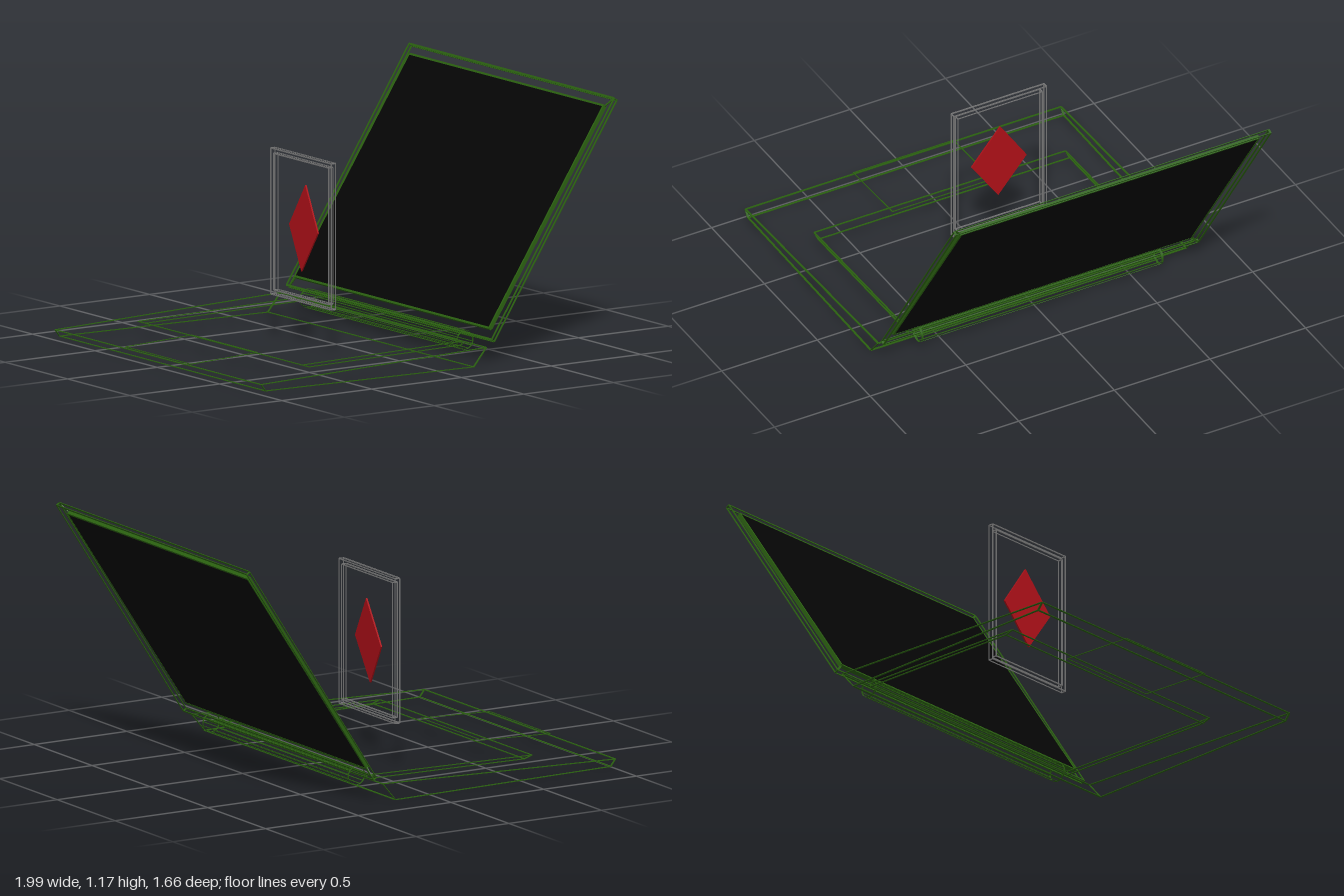
import * as THREE from 'three';

const V = (x, y, z) => new THREE.Vector3(x, y, z);
const paint = (color) => new THREE.MeshStandardMaterial({ color, side: THREE.DoubleSide });
const green = paint(0x2a6010), black = paint(0x050505), grey = paint(0x777777), red = paint(0xb01018);

// Flat strip from a to b, lying in the plane with the given normal
function strip(a, b, normal, width, thick, mat) {
  const d = b.clone().sub(a), len = d.length();
  d.normalize();
  const w = normal.clone().cross(d).normalize();
  const n = d.clone().cross(w);
  const mesh = new THREE.Mesh(new THREE.BoxGeometry(width, thick, len), mat);
  mesh.quaternion.setFromRotationMatrix(new THREE.Matrix4().makeBasis(w, n, d));
  mesh.position.copy(a).add(b).multiplyScalar(0.5);
  return mesh;
}

function named(name, parent) {
  const g = new THREE.Group();
  g.name = name;
  parent.add(g);
  return g;
}

// Closed outline of strips
function outline(group, pts, normal, width = 0.01, thick = 0.003, mat = green) {
  pts.forEach((p, i) => group.add(strip(p, pts[(i + 1) % pts.length], normal, width, thick, mat)));
}

// Rectangle running along z between two points of the side profile
const rect = ([x0, y0], [x1, y1], h) => [V(x0, y0, -h), V(x1, y1, -h), V(x1, y1, h), V(x0, y0, h)];
const normalOf = ([x0, y0], [x1, y1]) => V(y0 - y1, x1 - x0, 0).normalize();

// Two profile lines as outlines, joined at their four corners
function shell(group, a, b, h) {
  for (const [p, q] of [a, b]) outline(group, rect(p, q, h), normalOf(p, q));
  for (const i of [0, 1]) {
    for (const z of [-h, h]) {
      group.add(strip(V(...a[i], z), V(...b[i], z), normalOf(a[i], b[i]), 0.01, 0.003, green));
    }
  }
}

export function createModel() {
  const model = new THREE.Group();
  model.name = 'wireframeLaptop';

  // Wedge base, recessed key area and touchpad
  shell(named('base', model), [[-0.995, 0.047], [0.26, 0.085]], [[-0.97, 0.015], [0.19, 0.002]], 0.825);
  const keys = named('keyboardRecess', model);
  const keyTop = [[-0.65, 0.075], [0.24, 0.09]];
  outline(keys, rect(...keyTop, 0.657), normalOf(...keyTop), 0.008);
  keys.add(strip(V(-0.61, 0.062, -0.657), V(-0.61, 0.062, 0.657), V(0, 1, 0), 0.008, 0.003, green));
  for (const z of [-0.657, 0.657]) {
    keys.add(strip(V(-0.65, 0.075, z), V(-0.61, 0.062, z), V(0, 1, 0), 0.008, 0.003, green));
    keys.add(strip(V(-0.61, 0.062, z), V(0.24, 0.073, z), V(0, 1, 0), 0.008, 0.003, green));
    keys.add(strip(V(0.24, 0.073, z), V(0.24, 0.09, z), V(1, 0, 0), 0.008, 0.003, green));
  }
  const pad = [[-0.995, 0.055], [-0.625, 0.07]];
  outline(named('touchpad', model), rect(...pad, 0.262), normalOf(...pad), 0.005);

  // Hinge barrel: end rings and lengthwise wires
  const hinge = named('hinge', model);
  hinge.position.set(0.278, 0.088, 0);
  const r = 0.045, sides = 14;
  for (const z of [-0.628, 0.628]) {
    const ring = new THREE.Mesh(new THREE.CylinderGeometry(r, r, 0.01, sides, 1, true), green);
    ring.rotation.x = Math.PI / 2;
    ring.position.z = z;
    hinge.add(ring);
  }
  for (let i = 0; i < sides; i++) {
    const t = (i / sides) * Math.PI * 2, n = V(Math.sin(t), Math.cos(t), 0);
    const p = n.clone().multiplyScalar(r);
    hinge.add(strip(V(p.x, p.y, -0.628), V(p.x, p.y, 0.628), n, 0.004, 0.002, green));
  }

  // Lid frame
  const lid = named('lid', model);
  shell(lid, [[0.292, 0.118], [0.975, 1.168]], [[0.307, 0.108], [0.99, 1.158]], 0.822);

  // Screen panel with a green border
  const low = [0.314, 0.16], high = [0.952, 1.127];
  const dx = high[0] - low[0], dy = high[1] - low[1];
  const screen = new THREE.Mesh(new THREE.BoxGeometry(0.016, Math.hypot(dx, dy), 1.555), black);
  screen.name = 'screen';
  screen.position.set((low[0] + high[0]) / 2, (low[1] + high[1]) / 2, 0);
  screen.rotation.z = -Math.atan2(dx, dy);
  model.add(screen);
  outline(named('screenBorder', model), rect(low, high, 0.778), normalOf(low, high), 0.01, 0.018);

  // Corner braces between lid and screen
  const n = normalOf(low, high);
  lid.add(strip(V(0.975, 1.168, 0.822), V(...high, 0.778), n, 0.01, 0.003, green));
  lid.add(strip(V(0.307, 0.108, -0.822), V(...low, -0.778), n, 0.01, 0.003, green));

  // Upright card: inner and outer outlines, front and back
  const card = named('cardFrame', model);
  const corners = (x, i) => [V(x, 0.21 + i, -0.28 + i), V(x, 0.89 - i, -0.28 + i),
    V(x, 0.89 - i, 0.205 - i), V(x, 0.21 + i, 0.205 - i)];
  for (const inset of [0, 0.022]) {
    const back = corners(-0.148, inset), front = corners(-0.172, inset);
    outline(card, front, V(1, 0, 0), 0.006, 0.004, grey);
    outline(card, back, V(1, 0, 0), 0.005, 0.002, grey);
    front.forEach((p, i) => card.add(strip(p, back[i], V(0, 1, 0), 0.005, 0.005, grey)));
  }

  // Red diamond, tilted slightly by shearing
  const shape = new THREE.Shape([[0.037, 0.352], [0.172, 0.55], [0.037, 0.752], [-0.1, 0.55]]
    .map(([x, y]) => new THREE.Vector2(x, y)));
  const geo = new THREE.ExtrudeGeometry(shape, { depth: 0.008, bevelEnabled: false }).rotateY(Math.PI / 2);
  const pos = geo.attributes.position;
  for (let i = 0; i < pos.count; i++) {
    pos.setX(i, pos.getX(i) - 0.161 + 0.055 * (pos.getY(i) - 0.55) - 0.11 * (pos.getZ(i) + 0.037));
  }
  geo.computeVertexNormals();
  const diamond = new THREE.Mesh(geo, red);
  diamond.name = 'diamond';
  model.add(diamond);

  return model;
}
